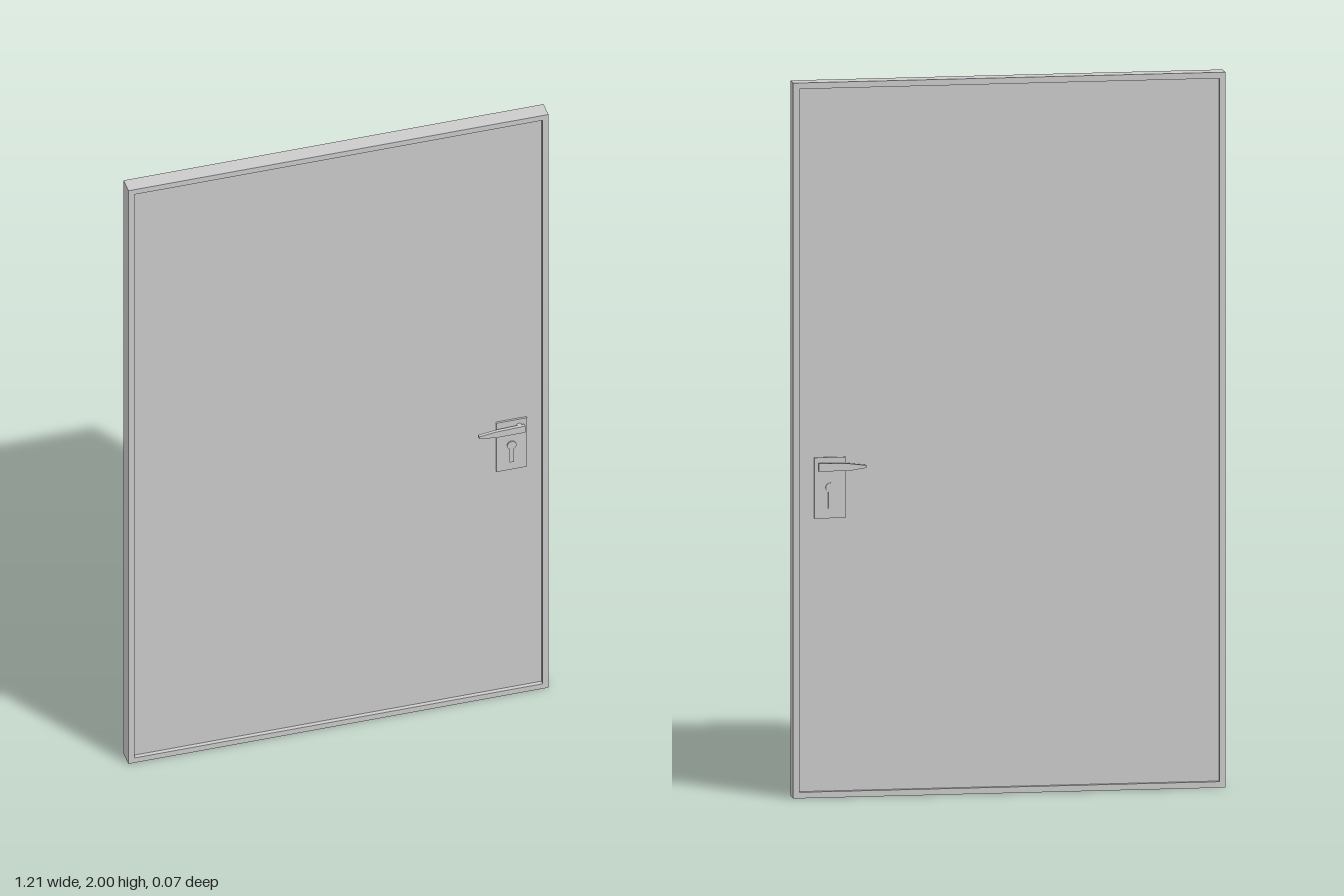
import * as THREE from 'three';

const material = new THREE.MeshStandardMaterial({ color: 0xcccccc, flatShading: true });

const W = 1.21, H = 2, DEPTH = 0.049, RIM = 0.017;
const PANEL = 0.012; // half thickness of the leaf

function rect(x0, y0, x1, y1, Type = THREE.Shape) {
  return new Type([[x0, y0], [x1, y0], [x1, y1], [x0, y1]].map(([x, y]) => new THREE.Vector2(x, y)));
}

// Extrudes a front outline between two depths
function slab(name, shape, z0, z1) {
  const geo = new THREE.ExtrudeGeometry(shape, { depth: z1 - z0, bevelEnabled: false, curveSegments: 10 });
  geo.translate(0, 0, z0);
  const mesh = new THREE.Mesh(geo, material);
  mesh.name = name;
  return mesh;
}

// Depth range on the front (side = 1) or back (side = -1)
function sided(name, shape, near, far, side) {
  return side > 0 ? slab(name, shape, near, far) : slab(name, shape, -far, -near);
}

export function createModel() {
  const door = new THREE.Group();
  door.name = 'door';

  // Rim around the leaf
  const rim = rect(-W / 2, 0, W / 2, H);
  rim.holes.push(rect(-W / 2 + RIM, RIM, W / 2 - RIM, H - RIM, THREE.Path));
  door.add(slab('frame', rim, -DEPTH / 2, DEPTH / 2));

  // Recessed leaf
  const leaf = rect(-W / 2 + RIM, RIM, W / 2 - RIM, H - RIM);
  door.add(slab('panel', leaf, -PANEL, PANEL));

  // Tapered lever outline
  const lever = new THREE.Shape([
    [0.402, 0.921], [0.45, 0.914], [0.535, 0.914], [0.535, 0.937], [0.45, 0.934], [0.402, 0.928],
  ].map(([x, y]) => new THREE.Vector2(x, y)));

  // Lock cylinder outline: round barrel with a narrow tail
  const lock = new THREE.Shape();
  lock.moveTo(0.494, 0.808);
  lock.lineTo(0.506, 0.808);
  lock.lineTo(0.506, 0.854);
  lock.absarc(0.5, 0.866, 0.0134, -1.1, Math.PI + 1.1, false);
  lock.closePath();

  // Handle set on each face
  for (const side of [1, -1]) {
    const set = new THREE.Group();
    set.name = side > 0 ? 'frontHandleSet' : 'backHandleSet';
    set.add(sided('plate', rect(0.457, 0.78, 0.545, 0.95), PANEL, 0.018, side));
    set.add(sided('lockCylinder', lock, 0.018, 0.022, side));
    set.add(sided('lever', lever, 0.026, 0.036, side));

    const neck = new THREE.Mesh(new THREE.CylinderGeometry(0.0105, 0.0105, 0.01, 16), material);
    neck.name = 'leverNeck';
    neck.rotation.x = Math.PI / 2;
    neck.position.set(0.522, 0.9255, side * 0.022);
    set.add(neck);
    door.add(set);
  }
  return door;
}
